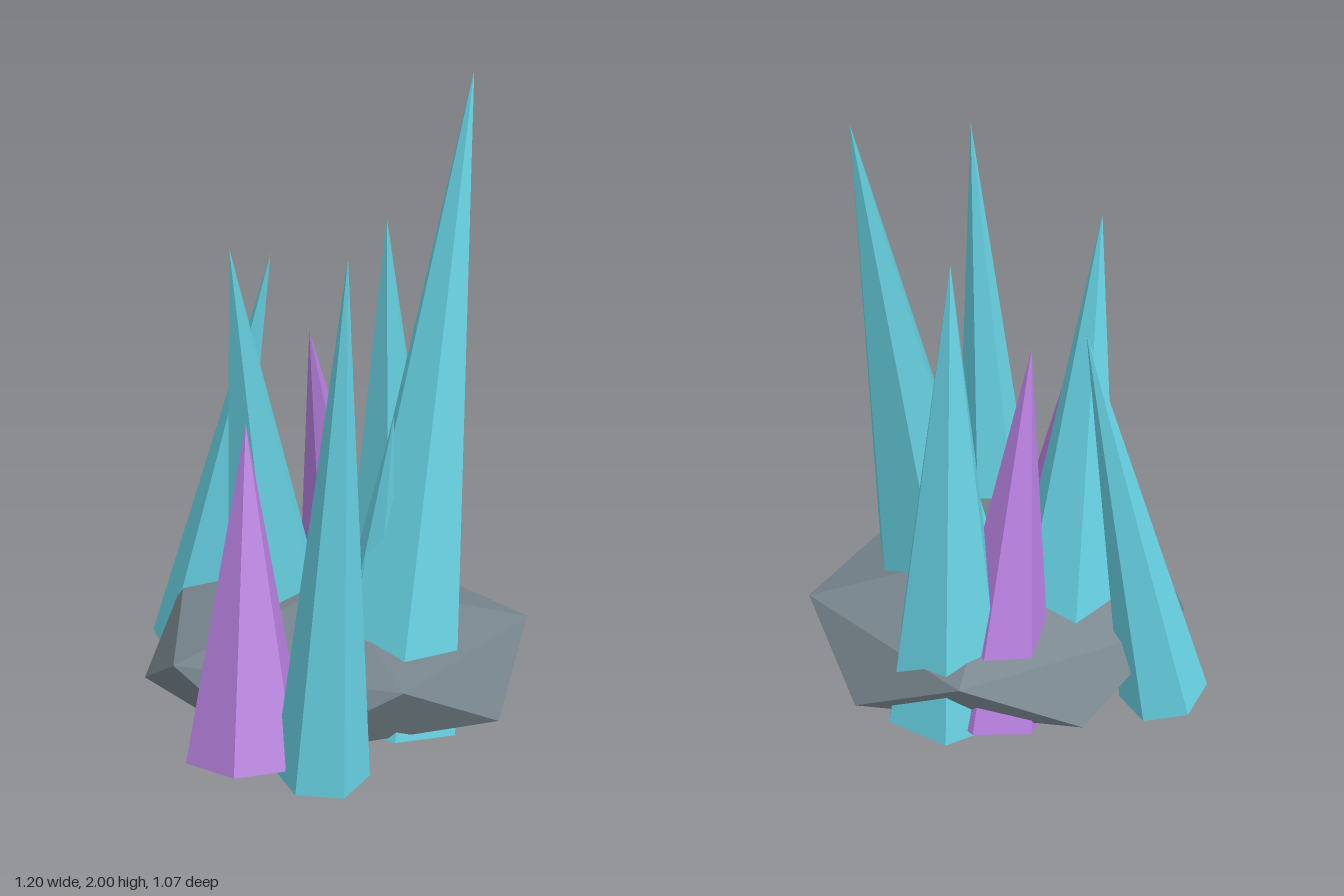
import * as THREE from 'three';

const material = (color) => new THREE.MeshStandardMaterial({ color, flatShading: true });

// Squashed icosahedron with a vertical pole: two staggered rings of five
function rockGeometry(rx, rz, height) {
  const points = [0, height, 0, 0, 0, 0];
  for (let i = 0; i < 10; i++) {
    const a = (i * Math.PI) / 5;
    const y = height * (i % 2 ? 0.276 : 0.724);
    points.push(rx * Math.cos(a), y, rz * Math.sin(a));
  }
  const faces = [];
  const ring = (i) => 2 + (i % 10);
  for (let i = 0; i < 10; i += 2) {
    faces.push(0, ring(i + 2), ring(i)); // cap
    faces.push(ring(i), ring(i + 2), ring(i + 1)); // belt
    faces.push(ring(i + 1), ring(i + 2), ring(i + 3));
    faces.push(1, ring(i + 1), ring(i + 3)); // underside
  }
  const geometry = new THREE.BufferGeometry();
  geometry.setAttribute('position', new THREE.Float32BufferAttribute(points, 3));
  geometry.setIndex(faces);
  const flat = geometry.toNonIndexed();
  flat.computeVertexNormals();
  return flat;
}

// Six-sided spike from a base centre to a tip, turned about its own axis
function crystal(name, mat, base, tip, radius, turn) {
  const from = new THREE.Vector3(...base);
  const axis = new THREE.Vector3(...tip).sub(from);
  const length = axis.length();
  const geometry = new THREE.ConeGeometry(radius, length, 6, 1);
  geometry.translate(0, length / 2, 0);
  geometry.rotateY(THREE.MathUtils.degToRad(turn));
  const mesh = new THREE.Mesh(geometry, mat);
  mesh.name = name;
  mesh.position.copy(from);
  mesh.quaternion.setFromUnitVectors(new THREE.Vector3(0, 1, 0), axis.normalize());
  return mesh;
}

export function createModel() {
  const group = new THREE.Group();
  group.name = 'crystalCluster';

  const rock = new THREE.Mesh(rockGeometry(0.6, 0.495, 0.45), material(0x77848c));
  rock.name = 'rock';
  rock.position.z = -0.07;
  group.add(rock);

  const blue = material(0x66cfe0);
  const purple = material(0xb57edc);
  // name, material, base centre, tip, radius, turn in degrees
  const crystals = [
    ['tallCrystal', blue, [0.165, 0.08, 0.108], [0.4, 2.0, -0.21], 0.22, 0],
    ['frontCrystal', blue, [-0.05, 0.07, 0.405], [0.02, 1.64, 0.47], 0.14, 26],
    ['middleCrystal', blue, [-0.17, 0.08, -0.215], [-0.3, 1.55, 0.04], 0.2, 0],
    ['backCrystal', blue, [0.2, 0.08, -0.338], [0.155, 1.57, -0.21], 0.2, -8],
    ['leaningCrystal', blue, [-0.465, 0.09, -0.385], [-0.19, 1.42, -0.355], 0.137, 22],
    ['smallCrystal', blue, [0.06, 0.08, 0.01], [0.165, 1.06, 0.1], 0.12, 20],
    ['frontPurpleCrystal', purple, [-0.27, 0.085, 0.33], [-0.26, 1.06, 0.145], 0.187, -10],
    ['backPurpleCrystal', purple, [0.06, 0.08, -0.37], [-0.075, 1.24, -0.15], 0.18, 31],
  ];
  for (const spec of crystals) group.add(crystal(...spec));

  return group;
}
